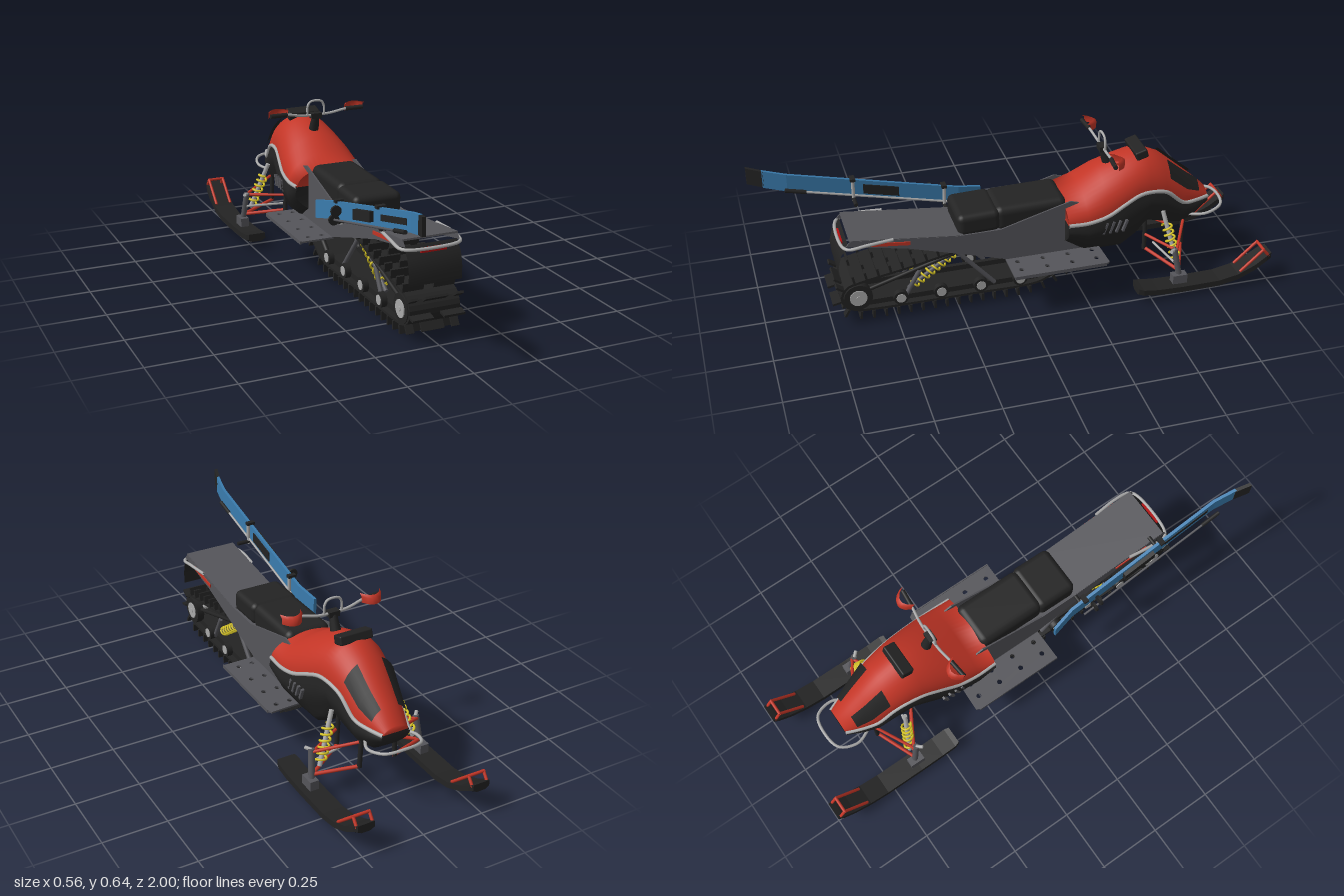
import * as THREE from 'three';
import { RoundedBoxGeometry } from 'three/addons/geometries/RoundedBoxGeometry.js';

const mat = (color) => new THREE.MeshStandardMaterial({ color, side: THREE.DoubleSide });
const red = mat(0xc23526), black = mat(0x232323), grey = mat(0x55555a), silver = mat(0xaaaaaa);
const blue = mat(0x3a7cae), yellow = mat(0xd6c426), lamp = mat(0xb01010);
const V = (x, y, z) => new THREE.Vector3(x, y, z);

export function createModel() {
  const model = new THREE.Group();
  const add = (name, geo, m) => {
    const mesh = new THREE.Mesh(geo, m);
    mesh.name = name;
    model.add(mesh);
    return mesh;
  };
  const box = (name, m, w, h, d, x, y, z, rx = 0, r = 0) => {
    const o = add(name, r ? new RoundedBoxGeometry(w, h, d, 3, r) : new THREE.BoxGeometry(w, h, d), m);
    o.position.set(x, y, z);
    o.rotation.x = rx;
    return o;
  };
  const rod = (name, m, a, b, r, r2 = r) => {
    const o = add(name, new THREE.CylinderGeometry(r2, r, a.distanceTo(b), 12), m);
    o.position.copy(a).lerp(b, 0.5);
    o.quaternion.setFromUnitVectors(V(0, 1, 0), b.clone().sub(a).normalize());
    return o;
  };
  const tube = (name, m, pts, r, closed = false, n = 40) =>
    add(name, new THREE.TubeGeometry(new THREE.CatmullRomCurve3(pts, closed, 'centripetal'), n, r, 8, closed), m);
  const disc = (name, m, r, w, x, y, z) => {
    const o = add(name, new THREE.CylinderGeometry(r, r, w, 24), m);
    o.position.set(x, y, z);
    o.rotation.z = Math.PI / 2;
  };
  // Skin over a list of equal-length cross-sections, with optional end caps
  const loft = (name, m, rings, { wrap = false, cap = false, flat = false } = {}) => {
    const n = rings[0].length, pos = [], idx = [];
    rings.forEach((r) => r.forEach((p) => pos.push(p.x, p.y, p.z)));
    for (let i = 0; i < rings.length - 1; i++)
      for (let j = 0; j < (wrap ? n : n - 1); j++) {
        const a = i * n + j, b = i * n + (j + 1) % n;
        idx.push(a, b, a + n, b, b + n, a + n);
      }
    if (cap) for (const r of [0, rings.length - 1]) for (let j = 1; j < n - 1; j++) idx.push(r * n, r * n + j, r * n + j + 1);
    let g = new THREE.BufferGeometry();
    g.setAttribute('position', new THREE.Float32BufferAttribute(pos, 3));
    g.setIndex(idx);
    if (flat) g = g.toNonIndexed();
    g.computeVertexNormals();
    return add(name, g, m);
  };
  // Flat side plate from a (z, y) outline
  const plate = (name, m, pts, x, t) => {
    const g = new THREE.ExtrudeGeometry(new THREE.Shape(pts.map((p) => new THREE.Vector2(...p))), { depth: t, bevelEnabled: false });
    g.rotateY(-Math.PI / 2).translate(x + t / 2, 0, 0);
    return add(name, g, m);
  };
  const coil = (name, m, a, b, r, turns, wire) => {
    const dir = b.clone().sub(a), u = V(1, 0, 0).cross(dir).normalize(), w = dir.clone().normalize().cross(u), pts = [];
    for (let i = 0; i <= turns * 10; i++) {
      const t = i / (turns * 10), q = i * Math.PI / 5;
      pts.push(a.clone().addScaledVector(dir, t).addScaledVector(u, r * Math.cos(q)).addScaledVector(w, r * Math.sin(q)));
    }
    tube(name, m, pts, wire, false, turns * 14);
  };

  // Body stations: z, top y, stripe y, stripe half width, belly y, belly half width
  const S = [[-0.18, 0.41, 0.335, 0.158, 0.23, 0.115], [-0.26, 0.445, 0.335, 0.16, 0.175, 0.115], [-0.34, 0.497, 0.35, 0.155, 0.165, 0.11],
    [-0.42, 0.527, 0.385, 0.14, 0.162, 0.105], [-0.48, 0.545, 0.408, 0.128, 0.2, 0.1], [-0.53, 0.547, 0.41, 0.12, 0.255, 0.095],
    [-0.6, 0.515, 0.393, 0.11, 0.235, 0.09], [-0.68, 0.447, 0.325, 0.095, 0.21, 0.075], [-0.74, 0.395, 0.315, 0.076, 0.222, 0.06], [-0.8, 0.338, 0.312, 0.052, 0.27, 0.04]];
  const hood = S.map(([z, t, y, w]) => Array.from({ length: 25 }, (_, i) => {
    const a = i / 24 * Math.PI, c = Math.cos(a);
    return V(w * Math.sign(c) * Math.abs(c) ** 1.1, y + (t - y) * Math.sin(a), z);
  }));
  const belly = S.map(([z, , y, w, b, bw]) => {
    const half = [V(w, y, z), V(w + 0.008, y - (y - b) * 0.35, z), V((w + bw) / 2, y - (y - b) * 0.72, z), V(bw * 0.85, b + 0.006, z), V(0, b, z)];
    return new THREE.CatmullRomCurve3([...half, ...half.slice(0, 4).reverse().map((p) => V(-p.x, p.y, z))]).getPoints(32);
  });
  loft('hood', red, hood, { cap: true });
  loft('lowerBody', black, belly, { cap: true });
  for (const s of [1, -1]) {
    tube('bodyStripe', silver, S.map(([z, , y, w]) => V(s * (w + 0.001), y, z)), 0.008);
    // Headlight panels following the hood surface
    const rings = S.slice(6, 9).map(([z, t, y, w]) => [0.42, 0.65, 0.88, 1.1].map((a) =>
      V(s * (w * Math.cos(a) ** 1.1 + 0.004), y + (t - y) * Math.sin(a) + 0.005, z - 0.015)));
    loft('headlight', black, rings);
    for (let i = 0; i < 4; i++) box('sideVent', grey, 0.012, 0.05, 0.009, s * 0.158, 0.3, -0.33 - i * 0.027, -0.35);
  }
  tube('frontBumper', silver, [V(-0.07, 0.25, -0.71), V(-0.1, 0.26, -0.78), V(-0.075, 0.275, -0.85), V(0, 0.282, -0.867),
    V(0.075, 0.275, -0.85), V(0.1, 0.26, -0.78), V(0.07, 0.25, -0.71)], 0.006);
  box('instrumentPod', black, 0.135, 0.036, 0.05, 0, 0.549, -0.505, 0.3, 0.006);

  // Steering
  rod('steeringPost', black, V(0, 0.49, -0.39), V(0, 0.57, -0.36), 0.022, 0.015);
  box('barClamp', black, 0.045, 0.022, 0.03, 0, 0.573, -0.36);
  tube('handlebar', silver, [V(-0.2, 0.592, -0.345), V(-0.13, 0.59, -0.352), V(-0.06, 0.577, -0.36), V(0.06, 0.577, -0.36), V(0.13, 0.59, -0.352), V(0.2, 0.592, -0.345)], 0.0055);
  tube('grabHoop', silver, [V(-0.037, 0.577, -0.36), V(-0.035, 0.615, -0.36), V(-0.022, 0.632, -0.36), V(0.022, 0.632, -0.36), V(0.035, 0.615, -0.36), V(0.037, 0.577, -0.36)], 0.005);
  for (const s of [1, -1]) {
    rod('grip', black, V(s * 0.13, 0.59, -0.352), V(s * 0.203, 0.592, -0.345), 0.009);
    loft('handGuard', red, [0, 1, 2, 3, 4, 5, 6].map((i) => {
      const x = s * (0.125 + i * 0.014), z = -0.355 - 0.037 * Math.sin(i * Math.PI / 6) ** 0.7;
      return [V(x, 0.58, z), V(x, 0.605, z), V(x, 0.613, z + 0.015)];
    }));
  }

  // Seat and tunnel
  box('frontSeat', black, 0.19, 0.105, 0.29, 0, 0.366, -0.05, 0.02, 0.03);
  box('rearSeat', black, 0.2, 0.09, 0.17, 0, 0.365, 0.16, 0.03, 0.025);
  const side = [[0.68, 0.36], [0.66, 0.382], [0.25, 0.335], [0.08, 0.335], [-0.2, 0.415], [-0.25, 0.4], [-0.25, 0.19], [0.04, 0.19], [0.25, 0.255], [0.45, 0.315]];
  for (const s of [1, -1]) {
    plate('tunnelSide', grey, side, s * 0.107, 0.006);
    box('sideReflector', red, 0.004, 0.014, 0.15, s * 0.112, 0.346, 0.51, -0.12);
  }
  box('tunnelDeck', grey, 0.218, 0.007, 0.44, 0, 0.356, 0.447, -0.114);
  box('tunnelFloor', grey, 0.21, 0.006, 0.5, 0, 0.325, 0.02);
  tube('rearRack', silver, [V(-0.112, 0.365, 0.5), V(-0.122, 0.362, 0.6), V(-0.118, 0.352, 0.67), V(-0.09, 0.35, 0.69),
    V(0.09, 0.35, 0.69), V(0.118, 0.352, 0.67), V(0.122, 0.362, 0.6), V(0.112, 0.365, 0.5)], 0.0065);
  box('tailLight', lamp, 0.1, 0.015, 0.014, 0, 0.343, 0.69);
  loft('snowFlap', black, [[0.36, 0.67], [0.32, 0.7], [0.27, 0.712], [0.222, 0.71]].map(([y, z]) => [V(-0.105, y, z), V(0.105, y, z)]));

  // Running boards with drain holes
  for (const s of [1, -1]) {
    const p = (x, z) => new THREE.Vector2(s * x, z);
    const shape = new THREE.Shape([p(0.105, -0.32), p(0.235, -0.325), p(0.243, -0.31), p(0.243, 0.06), p(0.105, 0.06)]);
    for (const x of [0.137, 0.195]) for (const z of [-0.285, -0.185, -0.083, 0.02])
      shape.holes.push(new THREE.Path().absarc(s * x, z, 0.01, 0, Math.PI * 2, true));
    const g = new THREE.ExtrudeGeometry(shape, { depth: 0.007, bevelEnabled: false, curveSegments: 8 });
    add('runningBoard', g.rotateX(Math.PI / 2).translate(0, 0.195, 0), grey);
    box('boardLip', grey, 0.005, 0.014, 0.37, s * 0.243, 0.191, -0.125);
  }

  // Track belt and paddles around one closed path
  const path = [[0.2, 0.052], [0.4, 0.052], [0.6, 0.055], [0.65, 0.06], [0.695, 0.085], [0.708, 0.125], [0.685, 0.168], [0.64, 0.183], [0.45, 0.218], [0.22, 0.262],
    [-0.1, 0.275], [-0.22, 0.268], [-0.265, 0.235], [-0.265, 0.19], [-0.22, 0.145], [-0.1, 0.065], [-0.04, 0.052]];
  const loop = new THREE.CatmullRomCurve3(path.map(([z, y]) => V(0, y, z)), true, 'centripetal');
  const frame = (t) => {
    const p = loop.getPointAt(t % 1), d = loop.getTangentAt(t % 1);
    return [p, V(0, -d.z, d.y)];
  };
  loft('trackBelt', black, Array.from({ length: 121 }, (_, i) => {
    const [p, n] = frame(i / 120);
    return [[-0.1, -0.005], [0.1, -0.005], [0.1, 0.005], [-0.1, 0.005]].map(([x, h]) => p.clone().addScaledVector(n, h).setX(x));
  }), { wrap: true, flat: true });
  for (let i = 0; i < 44; i++) {
    const [p, n] = frame(i / 44);
    for (const [x, w] of i % 2 ? [[-0.062, 0.084], [0.062, 0.084]] : [[0, 0.09], [-0.09, 0.03], [0.09, 0.03]]) {
      const o = box('trackPaddle', black, w, 0.034, 0.009, x, p.y + n.y * 0.022, p.z + n.z * 0.022);
      o.rotation.x = Math.atan2(n.z, n.y);
    }
  }
  // Track suspension
  rod('rearAxle', silver, V(-0.11, 0.118, 0.645), V(0.11, 0.118, 0.645), 0.01);
  for (const s of [1, -1]) {
    disc('rearWheel', black, 0.056, 0.03, s * 0.088, 0.118, 0.645);
    disc('rearHub', silver, 0.034, 0.034, s * 0.09, 0.118, 0.645);
    for (const z of [0.48, 0.32, 0.16, 0]) {
      disc('bogieWheel', black, 0.029, 0.022, s * 0.098, 0.09, z);
      disc('bogieHub', silver, 0.019, 0.026, s * 0.099, 0.09, z);
    }
    box('slideRail', black, 0.018, 0.022, 0.74, s * 0.07, 0.073, 0.28);
    rod('railNose', black, V(s * 0.07, 0.075, -0.08), V(s * 0.07, 0.17, -0.2), 0.011);
    rod('rearArm', grey, V(s * 0.085, 0.08, 0.46), V(s * 0.085, 0.19, 0.4), 0.009);
    rod('rearStrut', black, V(s * 0.08, 0.13, 0.62), V(s * 0.08, 0.26, 0.2), 0.008);
    rod('frontArm', grey, V(s * 0.085, 0.08, 0.1), V(s * 0.085, 0.25, 0.25), 0.009);
    rod('trackShock', grey, V(s * 0.06, 0.1, 0.44), V(s * 0.06, 0.27, 0.2), 0.009);
    coil('trackSpring', yellow, V(s * 0.06, 0.115, 0.42), V(s * 0.06, 0.235, 0.25), 0.018, 8, 0.004);

    // Steering skis
    loft('steeringSki', black, [[-0.44, 0.052, 0.036], [-0.46, 0.046, 0.042], [-0.52, 0.038, 0.042], [-0.62, 0.034, 0.042], [-0.78, 0.035, 0.042],
      [-0.86, 0.05, 0.042], [-0.93, 0.082, 0.042], [-0.98, 0.115, 0.04], [-1, 0.125, 0.034]].map(([z, y, w]) =>
      [[-w, 0.014], [-w, -0.01], [-0.018, -0.02], [0.018, -0.02], [w, -0.01], [w, 0.014]].map(([x, h]) => V(s * 0.238 + x, y + h, z))),
    { wrap: true, cap: true, flat: true });
    rod('skiRunner', grey, V(s * 0.238, 0.007, -0.74), V(s * 0.238, 0.007, -0.52), 0.007);
    for (const x of [0.206, 0.27]) {
      const [a, b, c] = [V(s * x, 0.07, -0.87), V(s * x, 0.157, -0.965), V(s * x, 0.125, -0.99)];
      rod('skiLoopLeg', red, a, b, 0.006);
      rod('skiLoopTip', red, b, c, 0.006);
    }
    rod('skiLoopBar', red, V(s * 0.203, 0.157, -0.965), V(s * 0.273, 0.157, -0.965), 0.006);
    box('skiMount', grey, 0.035, 0.04, 0.06, s * 0.237, 0.066, -0.62);
    rod('spindle', grey, V(s * 0.235, 0.06, -0.625), V(s * 0.223, 0.195, -0.6), 0.012);
    rod('steeringArm', silver, V(s * 0.222, 0.19, -0.6), V(s * 0.24, 0.195, -0.58), 0.007);
    for (const z of [-0.53, -0.69]) {
      rod('upperArm', red, V(s * 0.222, 0.187, -0.61), V(s * 0.08, 0.19 + 0.04 * (z < -0.6), z), 0.006);
      rod('lowerArm', red, V(s * 0.23, 0.097, -0.62), V(s * 0.07, 0.123, z), 0.007);
      rod('armBracket', black, V(s * 0.075, 0.12, z), V(s * 0.07, 0.26, z), 0.009);
    }
    rod('tieRod', silver, V(s * 0.225, 0.137, -0.6), V(s * 0.07, 0.139, -0.57), 0.005);
    const top = V(s * 0.13, 0.32, -0.58), low = V(s * 0.2, 0.125, -0.62);
    rod('shockBody', silver, low, top, 0.009);
    coil('shockSpring', yellow, low.clone().lerp(top, 0.08), low.clone().lerp(top, 0.75), 0.019, 6, 0.0045);
  }

  // Stowed ski and poles on the right flank
  const skiY = (z) => 0.55 - 0.24 * (1 - z);
  const strip = (name, m, pts, h, t) => loft(name, m, pts.map(([x, z]) =>
    [[-t, -h], [t, -h], [t, h], [-t, h]].map(([dx, dy]) => V(x + dx, skiY(z) + dy, z))), { wrap: true, cap: true, flat: true });
  strip('stowedSki', blue, [[-0.185, 0.085], [-0.165, 0.18], [-0.164, 0.5], [-0.164, 0.85], [-0.18, 0.94]], 0.036, 0.006);
  strip('stowedSkiTip', black, [[-0.18, 0.935], [-0.198, 0.997]], 0.034, 0.007);
  strip('skiBinding', black, [[-0.17, 0.42], [-0.17, 0.56]], 0.02, 0.016);
  strip('skiGraphic', black, [[-0.166, 0.62], [-0.166, 0.82]], 0.012, 0.0055);
  [[-0.195, 0.385], [-0.153, 0.345]].forEach(([x], i) => {
    rod('stowedPole', i ? silver : grey, V(x, skiY(0.22) - 0.03, 0.22), V(x, skiY(0.85) - 0.03, 0.85), 0.0045);
    rod('poleGrip', black, V(x, skiY(0.78) - 0.03, 0.78), V(x, skiY(0.86) - 0.03, 0.86), 0.008);
    const basket = add('poleBasket', new THREE.CylinderGeometry(0.021, 0.021, 0.01, 16), black);
    basket.position.set(-0.195, 0.345 + i * 0.04, 0.27 + i * 0.02);
    basket.rotation.x = Math.PI / 2;
  });
  for (const z of [0.24, 0.6]) {
    const y = skiY(z);
    rod('carrierArm', black, V(-0.1, y - 0.045, z), V(-0.165, y - 0.045, z), 0.008);
    rod('carrierPost', silver, V(-0.152, y - 0.055, z), V(-0.152, y + 0.04, z), 0.007);
    box('carrierStrap', black, 0.035, 0.012, 0.02, -0.162, y + 0.038, z);
  }
  return model;
}
